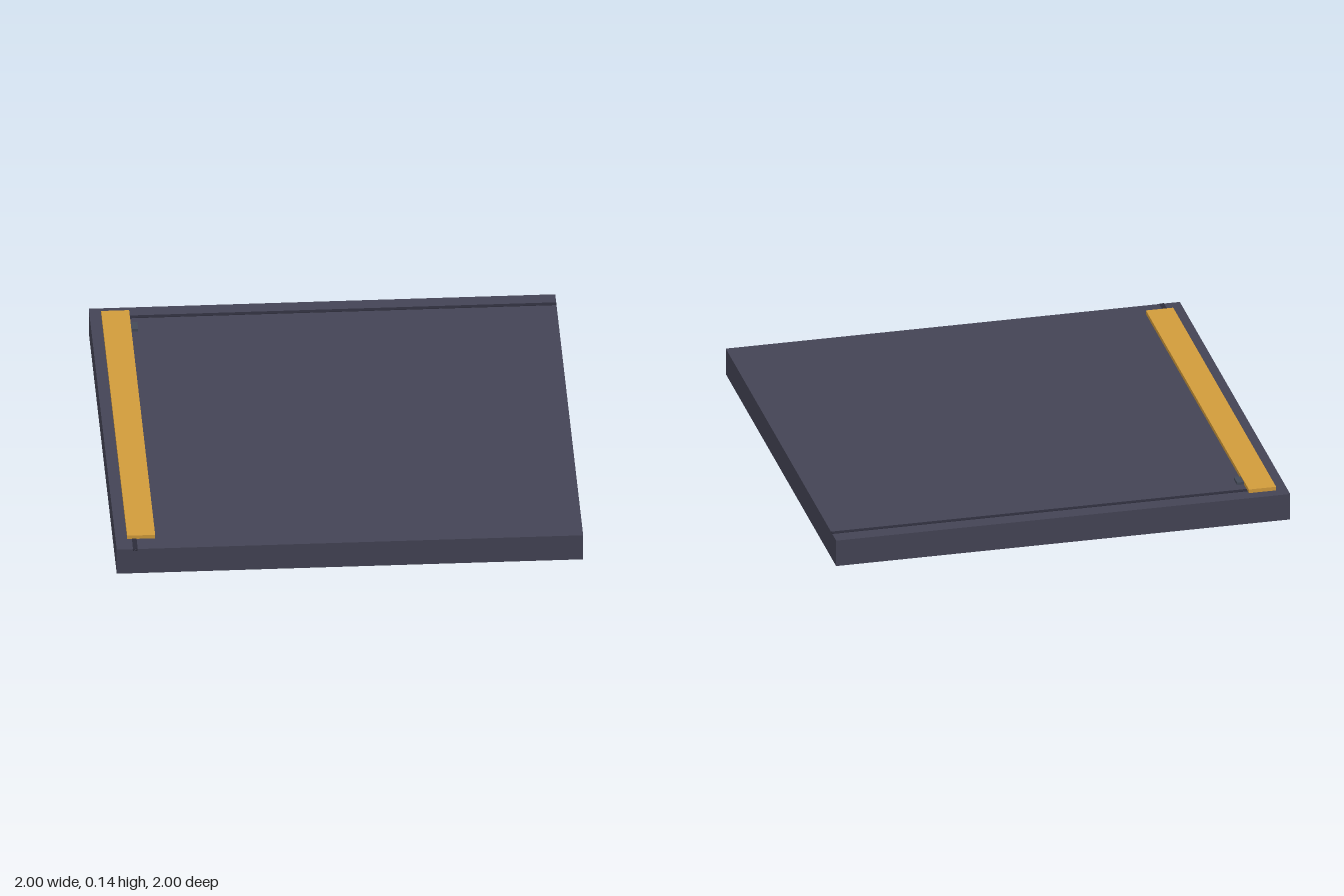
import * as THREE from 'three';

// Box given by its min and max corners
function slab(name, color, [x0, y0, z0], [x1, y1, z1]) {
  const mesh = new THREE.Mesh(
    new THREE.BoxGeometry(x1 - x0, y1 - y0, z1 - z0),
    new THREE.MeshStandardMaterial({ color })
  );
  mesh.name = name;
  mesh.position.set((x0 + x1) / 2, (y0 + y1) / 2, (z0 + z1) / 2);
  return mesh;
}

export function createModel() {
  const model = new THREE.Group();
  model.name = 'floorTile';
  const top = 0.12;

  // Square base tile
  model.add(slab('base', 0x444455, [-1, 0, -1], [1, top, 1]));

  // Thin dark seams, meeting in the back corner under the strip
  const seam = 0x2c2c3a;
  model.add(slab('backSeam', seam, [-0.93, top - 0.01, -0.93], [1, top + 0.002, -0.91]));
  model.add(slab('sideSeam', seam, [-0.93, top - 0.01, -0.91], [-0.91, top + 0.002, 1]));

  // Raised coloured strip along one side
  model.add(slab('strip', 0xd19b3b, [-0.95, top, -0.95], [-0.83, 0.137, 0.915]));

  // Small tab beside the strip
  model.add(slab('tab', 0x444a58, [-0.86, top, -0.86], [-0.8, 0.132, -0.8]));

  return model;
}
